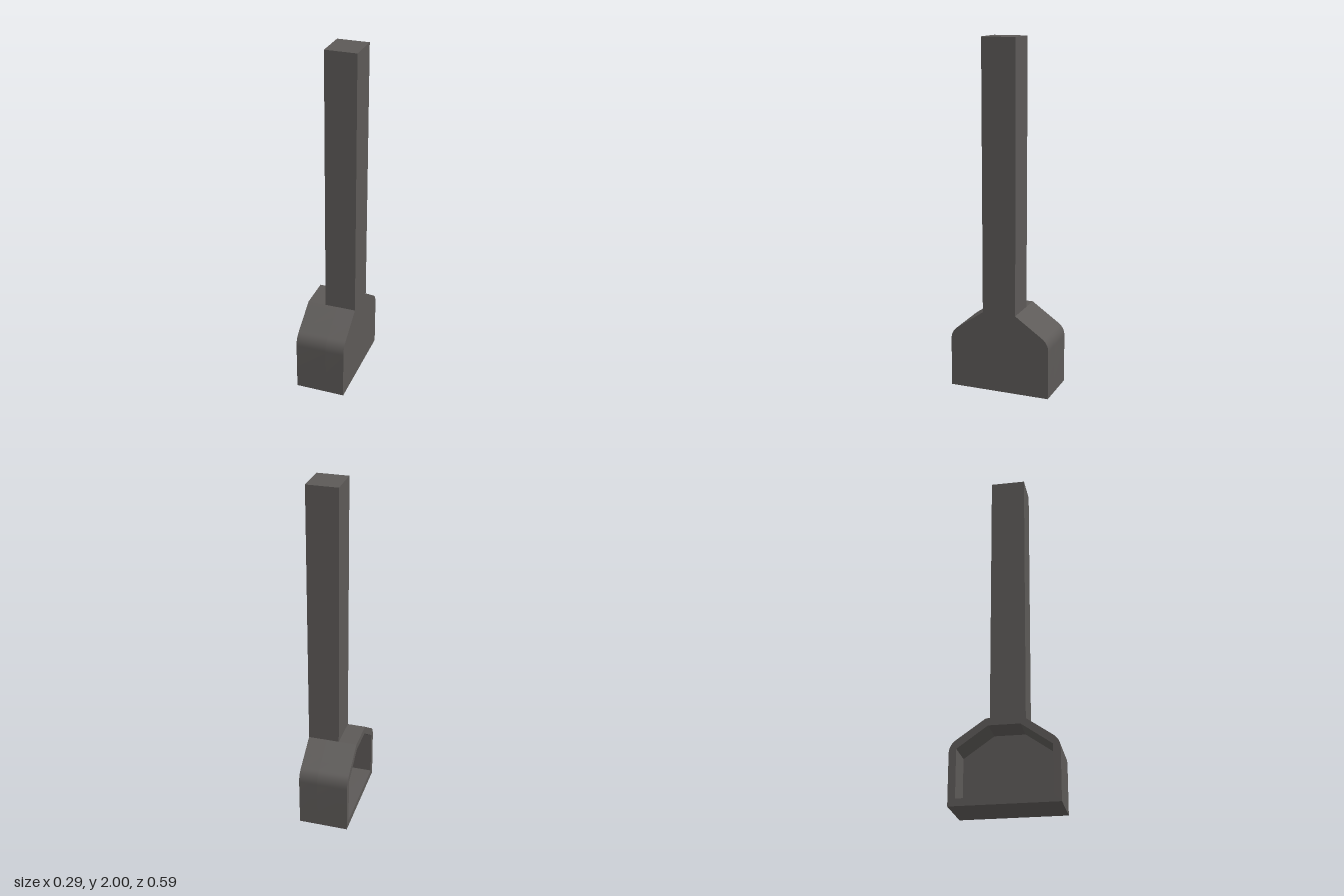
import * as THREE from 'three';
import { toCreasedNormals } from 'three/addons/utils/BufferGeometryUtils.js';

const X0 = -0.143, X1 = 0.143;   // open side and closed side
const RECESS = 0.035;            // x of the recess back wall

// Extrudes a (z, y) profile along x from a to b
function extrudeX(shape, a, b) {
  const geo = new THREE.ExtrudeGeometry(shape, { depth: b - a, bevelEnabled: false, curveSegments: 8 });
  geo.rotateY(Math.PI / 2).translate(a, 0, 0);
  return toCreasedNormals(geo, Math.PI / 7);
}

// House-shaped outline with rounded shoulders
function outerProfile() {
  const s = new THREE.Shape();
  s.moveTo(-0.295, 0);
  s.lineTo(0.295, 0);
  s.lineTo(0.295, 0.28);
  s.quadraticCurveTo(0.295, 0.328, 0.256, 0.355);
  s.lineTo(0.098, 0.465);
  s.lineTo(-0.098, 0.465);
  s.lineTo(-0.256, 0.355);
  s.quadraticCurveTo(-0.295, 0.328, -0.295, 0.28);
  s.closePath();
  return s;
}

// Recess outline, inset by the wall thickness
function recessProfile() {
  const p = new THREE.Path();
  p.moveTo(-0.255, 0.04);
  p.lineTo(-0.255, 0.306);
  p.lineTo(-0.086, 0.425);
  p.lineTo(0.086, 0.425);
  p.lineTo(0.255, 0.306);
  p.lineTo(0.255, 0.04);
  p.closePath();
  return p;
}

export function createModel() {
  const group = new THREE.Group();
  const grey = new THREE.MeshStandardMaterial({ color: 0x5c5957 });
  grey.name = 'warm dark grey';

  const add = (name, geo) => {
    const mesh = new THREE.Mesh(geo, grey);
    mesh.name = name;
    group.add(mesh);
    return mesh;
  };

  // Hollow base: a rim around the recess, closed by a thick back wall
  const rim = outerProfile();
  rim.holes.push(recessProfile());
  add('baseRim', extrudeX(rim, X0, RECESS));
  add('baseBackWall', extrudeX(outerProfile(), RECESS, X1));

  // Tall square column, flush with the closed side
  const columnX = -0.037;
  add('column', new THREE.BoxGeometry(X1 - columnX, 2 - 0.465, 0.196))
    .position.set((X1 + columnX) / 2, (2 + 0.465) / 2, 0);

  return group;
}
